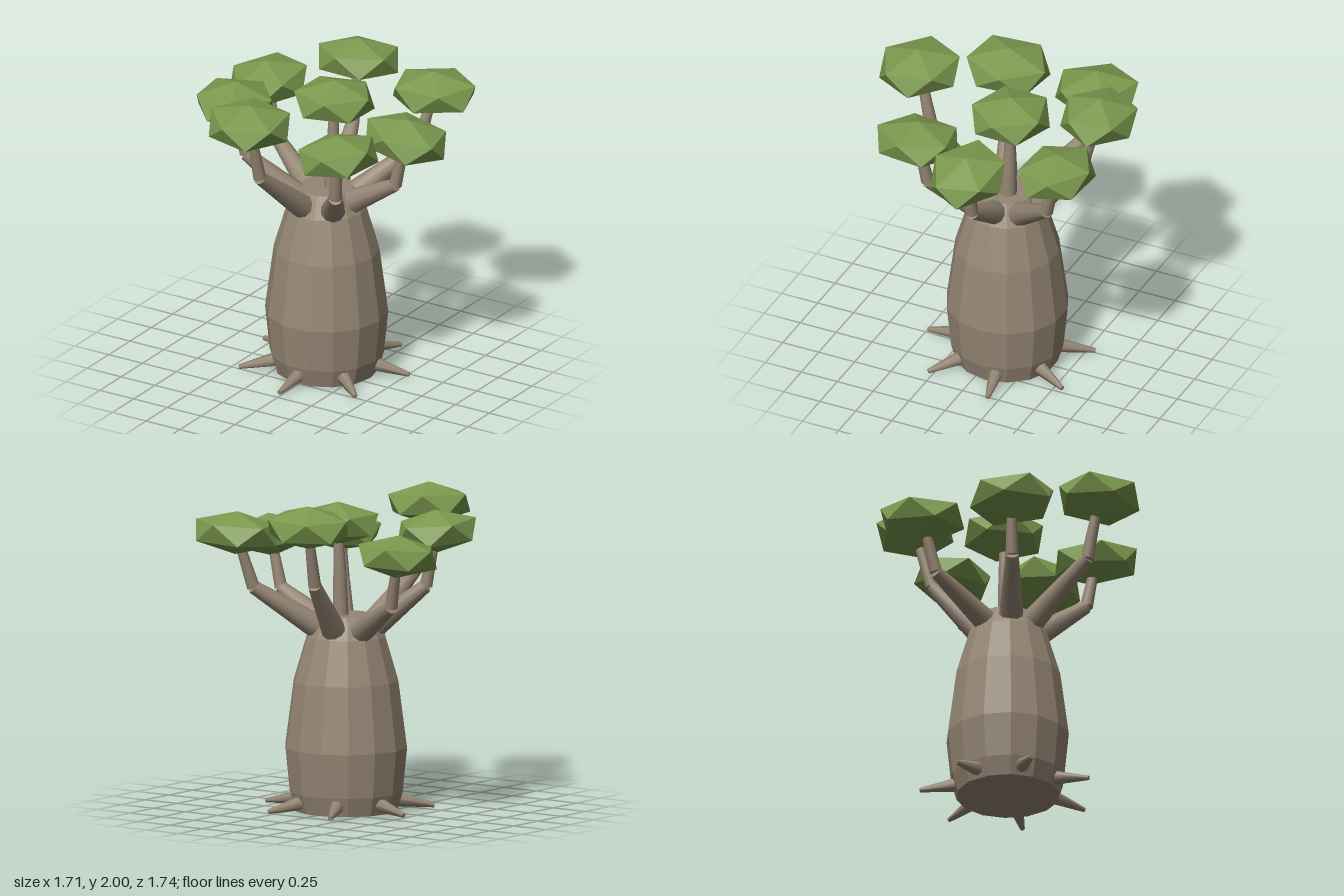
import * as THREE from 'three';

const CZ = -0.07; // trunk axis

export function createModel() {
  const tree = new THREE.Group();
  tree.name = 'tree';

  const bark = new THREE.MeshStandardMaterial({ color: 0x958674 });
  bark.name = 'bark';
  const barkFlat = bark.clone();
  barkFlat.flatShading = true;
  const leaf = new THREE.MeshStandardMaterial({ color: 0x7b994e, flatShading: true });
  leaf.name = 'leaf';

  function add(name, geometry, material, parent = tree) {
    const mesh = new THREE.Mesh(geometry, material);
    mesh.name = name;
    parent.add(mesh);
    return mesh;
  }

  // tapered limb between two points
  function limb(name, a, b, ra, rb, sides, parent) {
    const dir = b.clone().sub(a);
    const mesh = add(name, new THREE.CylinderGeometry(rb, ra, dir.length(), sides), bark, parent);
    mesh.position.copy(a).add(b).multiplyScalar(0.5);
    mesh.quaternion.setFromUnitVectors(new THREE.Vector3(0, 1, 0), dir.normalize());
    return mesh;
  }

  // swollen faceted trunk, closed at both ends
  const profile = [[0, 0], [0.325, 0], [0.36, 0.12], [0.388, 0.4], [0.333, 0.82], [0.25, 1.1], [0.17, 1.235], [0, 1.235]]
    .map(([r, y]) => new THREE.Vector2(r, y));
  const trunk = add('trunk', new THREE.LatheGeometry(profile, 14, Math.PI / 14), barkFlat);
  trunk.position.set(0.003, 0, CZ);

  // seven spiky roots round the foot
  for (let i = 0; i < 7; i++) {
    const t = (i / 7) * Math.PI * 2;
    const at = (r, y) => new THREE.Vector3(Math.sin(t) * r, y, CZ + Math.cos(t) * r);
    limb('root', at(0.28, 0.072), at(0.55, 0.025), 0.052, 0.015, 7, tree);
  }

  // leaf clump: icosahedron standing on a vertex, later flattened
  const clump = new THREE.IcosahedronGeometry(1, 0);
  clump.rotateZ(Math.atan(2 / (1 + Math.sqrt(5))));

  // base, elbow, clump centre, clump half sizes in x and z, yaw, tilt x, tilt z
  const branches = [
    [[-0.05, 1.15, 0.12], [-0.12, 1.48, 0.52], [-0.14, 1.87, 0.61], 0.27, 0.265, 1.4, 0.05, -0.05],
    [[0.15, 1.16, 0.09], [0.32, 1.37, 0.33], [0.37, 1.69, 0.375], 0.25, 0.275, 0.5, 0, 0.1],
    [[0.2, 1.18, CZ], [0.51, 1.36, -0.07], [0.585, 1.69, -0.075], 0.28, 0.24, 0.2, 0, -0.15],
    [[0.13, 1.17, -0.22], [0.385, 1.43, -0.53], [0.445, 1.78, -0.63], 0.29, 0.24, 0.9, 0.05, 0.03],
    [[-0.04, 1.16, -0.26], [-0.1, 1.48, -0.54], [-0.125, 1.865, -0.645], 0.28, 0.24, 0.2, -0.06, 0.03],
    [[-0.17, 1.15, -0.15], [-0.54, 1.36, -0.33], [-0.63, 1.695, -0.385], 0.25, 0.28, 1.3, 0.08, 0.05],
    [[-0.16, 1.17, 0.02], [-0.455, 1.43, 0.15], [-0.52, 1.78, 0.175], 0.25, 0.28, 0.8, -0.05, -0.05],
    [[0.03, 1.18, -0.09], [0.03, 1.5, -0.1], [0.035, 1.815, -0.11], 0.265, 0.255, 0.6, 0, 0],
  ];
  branches.forEach(([base, elbow, top, rx, rz, yaw, tiltX, tiltZ], i) => {
    const branch = new THREE.Group();
    branch.name = 'branch';
    tree.add(branch);
    const [a, b, c] = [base, elbow, top].map((p) => new THREE.Vector3(...p));
    const thick = i === 7 ? 0.055 : 0.078;
    limb('lowerBranch', a, b, thick, 0.043, 10, branch);
    limb('upperBranch', b, c, 0.042, 0.028, 10, branch);
    const crown = add('leafClump', clump.clone().rotateY(yaw).scale(rx * 1.08, 0.135, rz * 1.08), leaf, branch);
    crown.position.copy(c);
    crown.rotation.set(tiltX, 0, tiltZ);
  });

  return tree;
}
